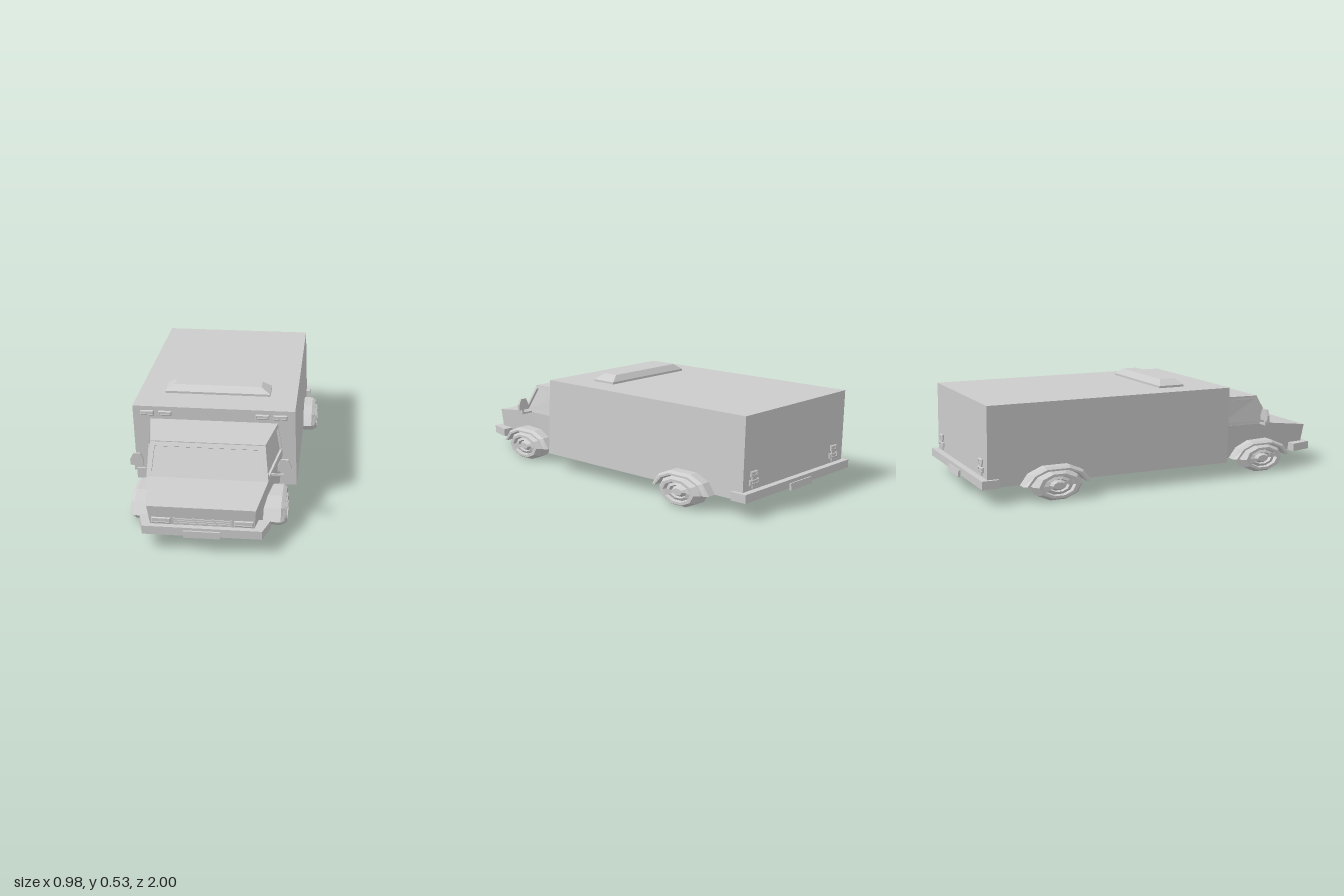
import * as THREE from 'three';

const material = new THREE.MeshStandardMaterial({ color: 0xcccccc, flatShading: true });
const FLOOR = 0.08, FRONT_AXLE = 0.625, REAR_AXLE = -0.61;

// Skin between rings of points, with optional caps.
function loft(rings, startCap = true, endCap = true) {
  const n = rings[0].length, last = (rings.length - 1) * n, index = [];
  for (let i = 0; i < last; i += n) {
    for (let j = 0; j < n; j++) {
      const a = i + j, b = i + (j + 1) % n;
      index.push(a, b, b + n, a, b + n, a + n);
    }
  }
  for (let j = 1; j < n - 1; j++) {
    if (startCap) index.push(0, j + 1, j);
    if (endCap) index.push(last, last + j, last + j + 1);
  }
  const geo = new THREE.BufferGeometry();
  geo.setAttribute('position', new THREE.Float32BufferAttribute(rings.flat(2), 3));
  geo.setIndex(index);
  geo.computeVertexNormals();
  return geo;
}

// Horizontal four-cornered ring, for bumpers and the roof vent.
const plan = (y, frontX, frontZ, backX, backZ) =>
  [[-frontX, y, frontZ], [frontX, y, frontZ], [backX, y, backZ], [-backX, y, backZ]];

// Framed panel: border, short reveal and a recessed pane.
function framedPane(corners, border, depth) {
  const v = corners.map(c => new THREE.Vector3(...c));
  const normal = v[1].clone().sub(v[0]).cross(v[3].clone().sub(v[0])).normalize();
  const inner = v.map((p, i) => {
    const a = v[(i + 1) % 4].clone().sub(p).normalize();
    const b = v[(i + 3) % 4].clone().sub(p).normalize();
    return p.clone().addScaledVector(a.add(b), border);
  });
  const pane = inner.map(p => p.clone().addScaledVector(normal, -depth));
  return loft([v, inner, pane].map(r => r.map(p => p.toArray())), false, true);
}

// Side profile (z, y) drawn across the vehicle; halfWidth sets x at each point.
function sideExtrude(points, halfWidth) {
  const shape = new THREE.Shape(points.map(p => new THREE.Vector2(...p)));
  const geo = new THREE.ExtrudeGeometry(shape, { depth: 2, bevelEnabled: false });
  geo.translate(0, 0, -1).rotateY(-Math.PI / 2);
  const p = geo.attributes.position;
  for (let i = 0; i < p.count; i++) p.setX(i, p.getX(i) * halfWidth(p.getY(i), p.getZ(i)));
  geo.computeVertexNormals();
  return geo;
}

// Wheel arch outlines, relative to the axle.
const archInner = [[0.15, FLOOR], [0.11, 0.125], [0.055, 0.147], [-0.055, 0.147], [-0.11, 0.125], [-0.15, FLOOR]];
const archOuter = [[0.18, FLOOR], [0.14, 0.135], [0.065, 0.167], [-0.065, 0.167], [-0.14, 0.135], [-0.18, FLOOR]];
const notch = axle => archInner.map(([z, y]) => [axle - z, y]);

function fenderGeometry(width) {
  const section = [[0, 0], [0, 1], [width - 0.018, 1], [width, 0.45], [width, 0]];
  return loft(archInner.map(([zi, yi], i) => section.map(([x, t]) =>
    [x, yi + (archOuter[i][1] - yi) * t, zi + (archOuter[i][0] - zi) * t])));
}

function wheelGeometry() {
  const profile = [[0, -0.055], [0.1, -0.055], [0.131, -0.032], [0.131, 0.028], [0.108, 0.054], [0.086, 0.054],
    [0.078, 0.036], [0.055, 0.044], [0.046, 0.03], [0.03, 0.048], [0, 0.048]];
  const geo = new THREE.LatheGeometry(profile.map(p => new THREE.Vector2(...p)), 10);
  return geo.rotateZ(-Math.PI / 2).scale(1, 0.586, 1);
}

export function createModel() {
  const model = new THREE.Group();
  model.name = 'boxTruck';

  function add(name, geo, x = 0, y = 0, z = 0) {
    const mesh = new THREE.Mesh(geo, material);
    mesh.name = name;
    mesh.position.set(x, y, z);
    model.add(mesh);
    return mesh;
  }
  const box = (name, w, h, d, x, y, z) => add(name, new THREE.BoxGeometry(w, h, d), x, y, z);

  // The upper bodywork leans slightly to one side.
  const lean = geo => {
    const p = geo.attributes.position;
    for (let i = 0; i < p.count; i++) p.setX(i, p.getX(i) - 0.042 * (p.getY(i) - FLOOR));
    return geo;
  };

  // Cargo box with a tunnel for the rear wheels
  add('cargoBox', lean(sideExtrude(
    [[-0.955, FLOOR], ...notch(REAR_AXLE), [0.375, FLOOR], [0.375, 0.485], [-0.955, 0.485]], () => 0.417)));

  // Lower cab and bonnet, narrowing to the front
  add('lowerCab', lean(sideExtrude(
    [[0.36, FLOOR], ...notch(FRONT_AXLE), [0.95, FLOOR], [0.965, 0.215], [0.715, 0.25], [0.36, 0.265]],
    (y, z) => 0.345 - 0.145 * (z - 0.4) - 0.12 * Math.max(0, 0.25 - y))));

  // Upper cab: windscreen, side windows and roof
  const baseFront = s => [s * 0.3, 0.25, 0.715], baseBack = s => [s * 0.35, 0.265, 0.365];
  const roofFront = s => [s * 0.284, 0.402, 0.63], roofBack = s => [s * 0.33, 0.415, 0.365];
  add('windscreen', lean(framedPane([baseFront(-1), baseFront(1), roofFront(1), roofFront(-1)], 0.022, 0.01)));
  for (const s of [-1, 1]) {
    const corners = [baseFront(s), baseBack(s), roofBack(s), roofFront(s)];
    add('sideWindow', lean(framedPane(s > 0 ? corners : corners.reverse(), 0.016, 0.012)));
  }
  add('cabRoof', lean(loft([
    [roofFront(-1), roofFront(1), roofBack(1), roofBack(-1)],
    [roofFront(-1), roofFront(1), roofBack(1), roofBack(-1)].map(([x, y, z]) => [x, y + 0.004, z]),
  ])));

  // Roof vent
  add('roofVent', lean(loft([
    plan(0.48, 0.277, 0.175, 0.277, 0.035),
    plan(0.496, 0.277, 0.175, 0.277, 0.035),
    plan(0.526, 0.23, 0.145, 0.23, 0.06),
  ])));

  // Bumpers and plates
  add('frontBumper', loft([0.078, 0.12].map(y => plan(y, 0.285, 0.985, 0.318, 0.865))));
  add('rearBumper', loft([0.08, 0.122].map(y => plan(y, 0.437, -0.9, 0.437, -0.988))));
  box('frontPlate', 0.176, 0.034, 0.012, 0, 0.09, 0.989);
  box('rearPlate', 0.176, 0.034, 0.012, 0, 0.088, -0.994).rotation.x = 0.15;

  // Grille slats
  box('grille', 0.28, 0.03, 0.006, 0, 0.142, 0.957);
  for (let i = 0; i < 3; i++) box('grilleSlat', 0.27, 0.005, 0.008, 0, 0.132 + i * 0.01, 0.96);

  // Framed lamp with its lens facing along z
  const lamp = (w, h) => {
    const ring = (k, z) => [[-1, -1], [1, -1], [1, 1], [-1, 1]]
      .map(([x, y]) => [x * (w / 2 - k), y * (h / 2 - k), z]);
    return loft([ring(0, -0.01), ring(0, 0.004), ring(0.004, 0.008), ring(0.007, 0.008), ring(0.007, 0.003)]);
  };

  const fenders = [['frontFender', FRONT_AXLE, 0.275, 0.103], ['rearFender', REAR_AXLE, 0.4, 0.08]];
  const wheels = [['frontWheel', FRONT_AXLE, 0.332], ['rearWheel', REAR_AXLE, 0.438]];

  for (const s of [-1, 1]) {
    const turn = s > 0 ? 0 : Math.PI;

    // Wheels and arch trims
    for (const [name, z, x, width] of fenders) add(name, fenderGeometry(width), s * x, 0, z).rotation.y = turn;
    for (const [name, z, x] of wheels) add(name, wheelGeometry(), s * x, 0.073, z).rotation.y = turn;

    // Headlamps, roof markers and tail lamps
    add('headlamp', lamp(0.092, 0.03), s * 0.197, 0.142, 0.957);
    for (const x of [0.25, 0.342]) add('markerLamp', lamp(0.07, 0.026), s * x - 0.016, 0.45, 0.377);
    for (const [y, w] of [[0.2, 0.05], [0.16, 0.07]]) {
      add('tailLamp', lamp(w, 0.026), s * 0.335, y, -0.957).rotation.y = Math.PI;
    }
    box('tailLampBase', 0.03, 0.08, 0.012, s * 0.335, 0.17, -0.956);

    // Door mirror on a bent arm
    const outline = [[-0.033, 0], [0.033, 0], [0.033, 0.03], [0.018, 0.062], [-0.018, 0.062], [-0.033, 0.03]];
    const housing = new THREE.ExtrudeGeometry(new THREE.Shape(outline.map(p => new THREE.Vector2(...p))),
      { depth: 0.014, bevelEnabled: false });
    add('mirrorHousing', housing, s * 0.365, 0.278, 0.635);
    box('mirrorPost', 0.012, 0.03, 0.01, s * 0.37, 0.268, 0.642);
    box('mirrorArm', 0.08, 0.01, 0.01, s * 0.336, 0.257, 0.642);
  }
  return model;
}
